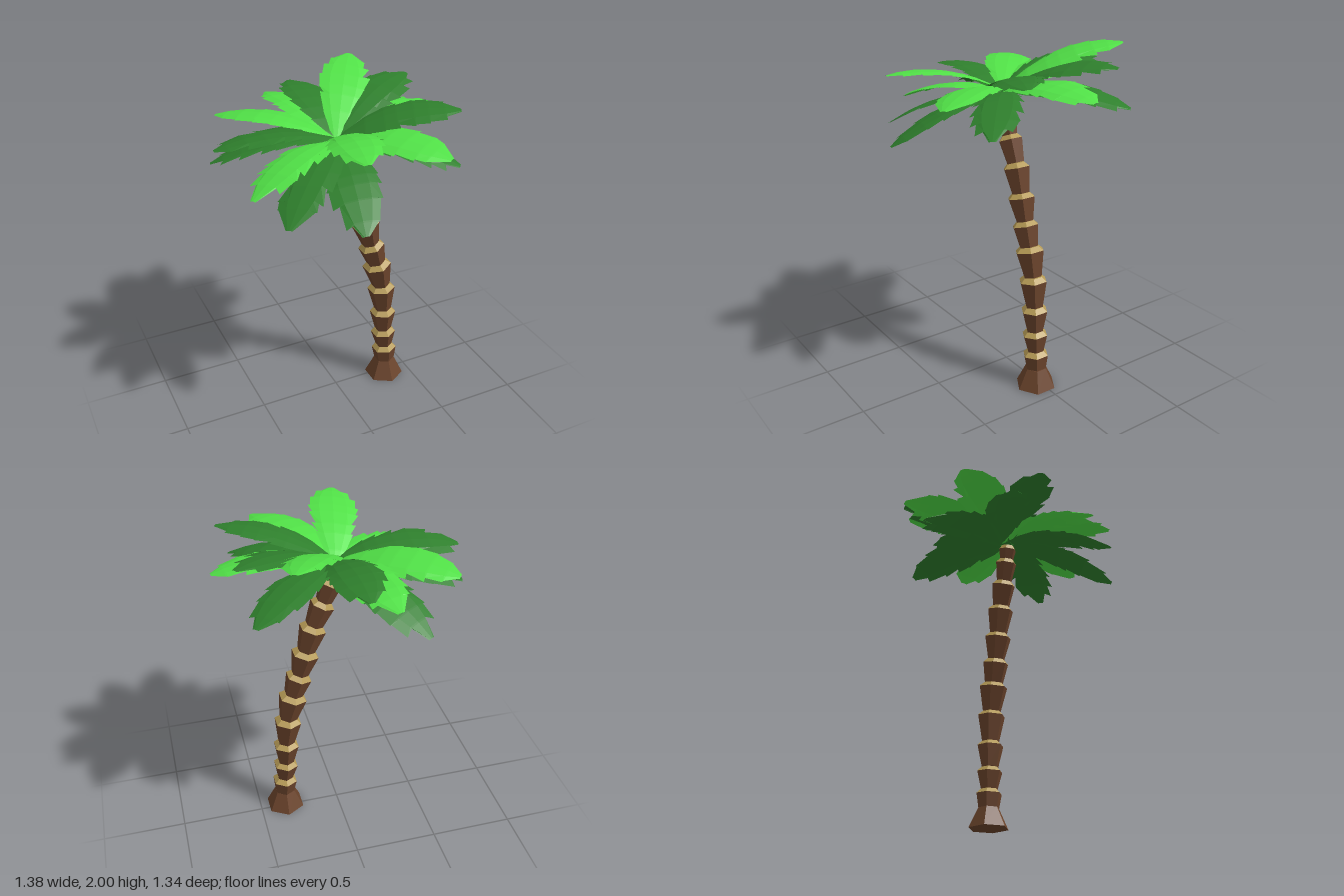
import * as THREE from 'three';

const mat = (color, side = THREE.FrontSide) =>
  new THREE.MeshStandardMaterial({ color, flatShading: true, side });
const bark = mat(0x6b442c);
const ringTan = mat(0xb59a55);
const darkLeaf = mat(0x2f802d, THREE.DoubleSide);
const brightLeaf = mat(0x51e147, THREE.DoubleSide);

const UP = new THREE.Vector3(0, 1, 0);
const CROWN = new THREE.Vector3(0, 1.715, 0.02);

// seeded random numbers for the leaf notches
let seed = 7;
const rand = () => (seed = (seed * 16807) % 2147483647) / 2147483647;

// six-sided tapered piece running from point a to point b
function taper(name, a, b, rBottom, rTop, material) {
  const dir = b.clone().sub(a);
  const mesh = new THREE.Mesh(new THREE.CylinderGeometry(rTop, rBottom, dir.length(), 6), material);
  mesh.position.copy(a).add(b).multiplyScalar(0.5);
  mesh.quaternion.setFromUnitVectors(UP, dir.normalize());
  mesh.name = name;
  return mesh;
}

function createTrunk() {
  const trunk = new THREE.Group();
  trunk.name = 'trunk';
  // top of each segment: x, y, radius
  const tops = [
    [0.335, 0.205, 0.078], [0.325, 0.335, 0.078], [0.317, 0.492, 0.081], [0.3, 0.677, 0.085],
    [0.264, 0.852, 0.088], [0.223, 0.995, 0.08], [0.181, 1.152, 0.083], [0.133, 1.318, 0.081],
    [0.075, 1.467, 0.073], [0.027, 1.597, 0.066], [0, 1.68, 0.055],
  ];
  const at = (x, y) => new THREE.Vector3(x, y, 0.024);
  let foot = at(0.34, 0.12);
  let neck = 0.064;
  trunk.add(taper('trunkBase', at(0.34, 0), foot, 0.122, neck, bark));
  for (const [x, y, r] of tops) {
    const top = at(x, y);
    const dir = top.clone().sub(foot).normalize();
    trunk.add(taper('trunkSegment', foot, top, neck, r, bark));
    neck = r * 0.66;
    foot = top.clone().addScaledVector(dir, 0.026);
    trunk.add(taper('trunkRing', top, foot, r, neck, ringTan));
  }
  return trunk;
}

// half width of a leaf along its length
const PROFILE = [[0, 0.03], [0.1, 0.05], [0.25, 0.098], [0.42, 0.135], [0.6, 0.147], [0.8, 0.125], [0.92, 0.08], [1, 0.018]];
function halfWidth(t) {
  const i = Math.max(1, PROFILE.findIndex(([s]) => s >= t));
  const [t0, w0] = PROFILE[i - 1];
  const [t1, w1] = PROFILE[i];
  return THREE.MathUtils.lerp(w0, w1, (t - t0) / (t1 - t0));
}

// depth of a notch: mostly shallow, now and then deep
const notch = () => 0.03 + 0.35 * rand() ** 2;

// arched leaf, slightly rolled to one side, with notched edges
function createFrond(x, y, z, material) {
  const tip = new THREE.Vector3(x, y, z);
  const dir = tip.clone().sub(CROWN).setY(0).normalize();
  const side = dir.clone().cross(UP);
  const root = CROWN.clone().addScaledVector(dir, -0.03);
  const bend = root.clone().lerp(tip, 0.5).setY(1.89 + (y - 1.77) * 0.5);
  const spine = new THREE.QuadraticBezierCurve3(root, bend, tip);

  // rows come in pairs at each notch: tooth point, then the cut behind it
  const rows = [{ t: 0, cut: [0, 0], sweep: [0, 0] }];
  const teeth = 8;
  for (let k = 1; k < teeth; k++) {
    const t = (k + (rand() - 0.5) * 0.5) / teeth;
    const cut = [notch(), notch()];
    rows.push({ t, cut: [0, 0], sweep: cut.map((c) => c * 0.1) });
    rows.push({ t: t + 0.012, cut, sweep: cut.map((c) => c * -0.08) });
  }
  rows.push({ t: 1, cut: [0, 0], sweep: [0, 0] });

  const pos = [];
  const index = [];
  const columns = [-1, -0.55, 0, 0.55, 1];
  rows.forEach(({ t, cut, sweep }, i) => {
    const w = halfWidth(t);
    columns.forEach((u, j) => {
      const edge = Math.abs(u) === 1;
      const k = u < 0 ? 0 : 1;
      const offset = u * w * (edge ? 1 - cut[k] : 1);
      const p = spine.getPoint(edge ? t + sweep[k] : t).addScaledVector(side, offset);
      p.y -= Math.abs(offset) * (edge ? 0.14 : 0.07) + offset * 0.12;
      pos.push(p.x, p.y, p.z);
      if (i < rows.length - 1 && j < columns.length - 1) {
        const a = i * columns.length + j;
        const c = a + columns.length;
        index.push(a, a + 1, c, a + 1, c + 1, c);
      }
    });
  });
  const geo = new THREE.BufferGeometry();
  geo.setAttribute('position', new THREE.Float32BufferAttribute(pos, 3));
  geo.setIndex(index);
  const flat = geo.toNonIndexed();
  flat.computeVertexNormals();
  const mesh = new THREE.Mesh(flat, material);
  mesh.name = 'frond';
  return mesh;
}

function createCrown() {
  const crown = new THREE.Group();
  crown.name = 'crown';
  // leaf tips
  const dark = [
    [0, 1.85, -0.645], [0.59, 1.92, -0.29], [0.6, 1.89, 0.3], [-0.15, 1.48, 0.66],
    [-0.49, 1.51, 0.49], [-0.69, 1.77, -0.02], [-0.665, 1.63, -0.18], [-0.34, 1.56, -0.59],
    [0.53, 1.67, -0.45], [0.52, 1.64, 0.45],
  ];
  const bright = [
    [0.345, 1.995, -0.54], [0.35, 1.78, 0.62], [-0.15, 1.87, 0.665], [-0.61, 1.62, 0.32],
    [-0.54, 1.8, -0.43], [-0.14, 1.79, -0.67], [0.685, 1.79, -0.06],
  ];
  for (const p of dark) crown.add(createFrond(...p, darkLeaf));
  for (const p of bright) crown.add(createFrond(...p, brightLeaf));
  return crown;
}

export function createModel() {
  const palm = new THREE.Group();
  palm.name = 'palmTree';
  palm.add(createTrunk(), createCrown());
  return palm;
}
